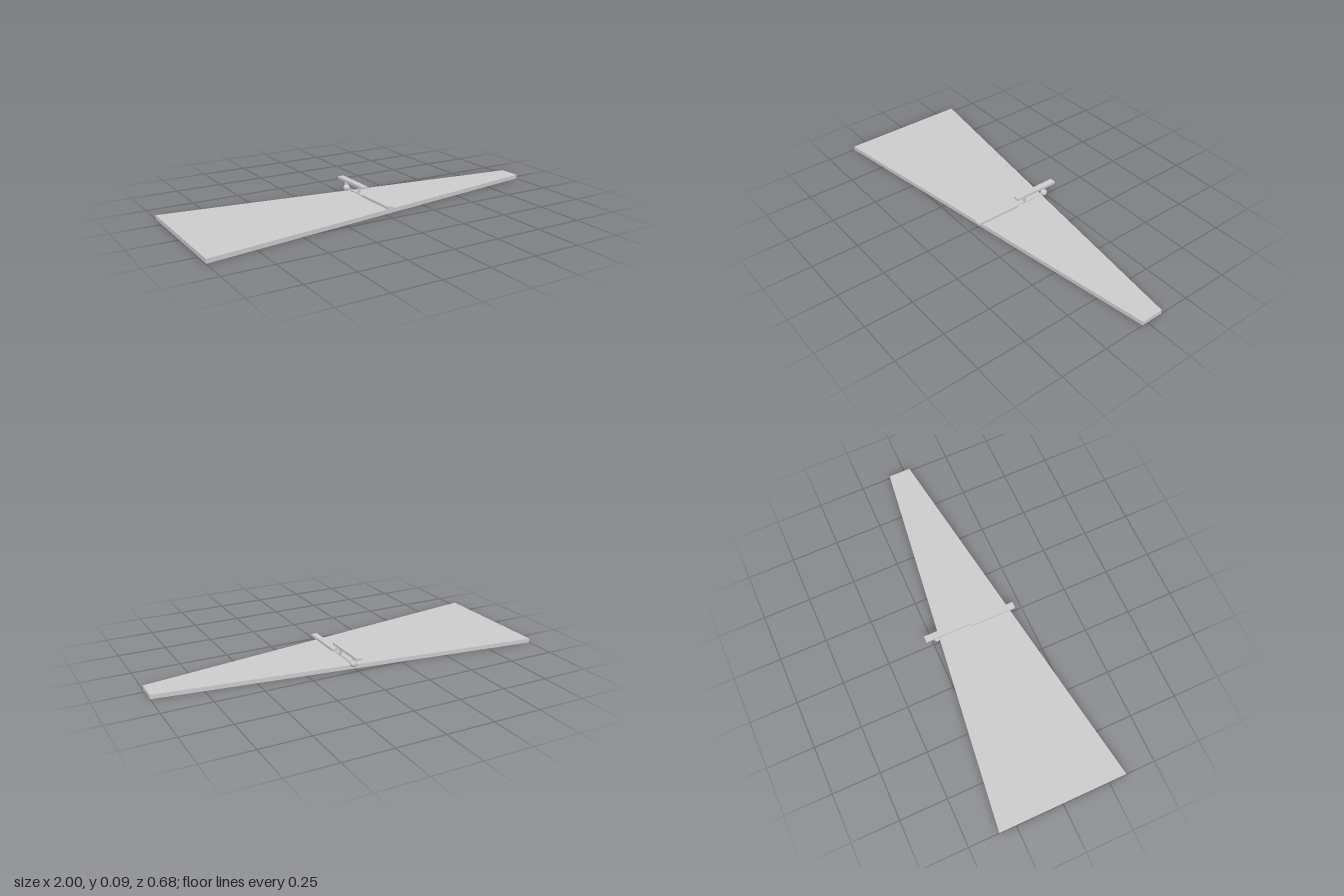
import * as THREE from 'three';

export function createModel() {
  const model = new THREE.Group();
  const material = new THREE.MeshStandardMaterial({ color: 0xcccccc });
  const midX = 0.016;

  const add = (name, geometry, x = 0, y = 0, z = 0) => {
    const mesh = new THREE.Mesh(geometry, material);
    mesh.name = name;
    mesh.position.set(x, y, z);
    model.add(mesh);
    return mesh;
  };

  // Box on the mechanism's centre line, given by its y and z limits
  const addBar = (name, width, y0, y1, z0, z1) =>
    add(name, new THREE.BoxGeometry(width, y1 - y0, z1 - z0), midX, (y0 + y1) / 2, (z0 + z1) / 2);

  // Tapered base plate, outlined in plan (shape y = -z)
  const outline = new THREE.Shape([
    new THREE.Vector2(-1, -0.34),
    new THREE.Vector2(1, -0.03),
    new THREE.Vector2(1, 0.088),
    new THREE.Vector2(-1, 0.34),
  ]);
  const plate = new THREE.ExtrudeGeometry(outline, { depth: 0.022, bevelEnabled: false });
  plate.rotateX(-Math.PI / 2);
  add('basePlate', plate);

  // Two flat bars, the rear one raised on posts
  addBar('frontBar', 0.033, 0.033, 0.046, -0.037, 0.211);
  addBar('rearBar', 0.033, 0.072, 0.085, -0.287, -0.038);
  addBar('frontPost', 0.012, 0.034, 0.073, -0.1, -0.091);
  addBar('rearPost', 0.012, 0.036, 0.073, -0.234, -0.226);

  // Thin rod running back to the ball
  const rod = new THREE.CylinderGeometry(0.0048, 0.0048, 0.245, 24);
  rod.rotateX(Math.PI / 2);
  add('rod', rod, midX, 0.033, -0.1025);
  add('ball', new THREE.SphereGeometry(0.018, 32, 20), midX, 0.034, -0.225);

  return model;
}
